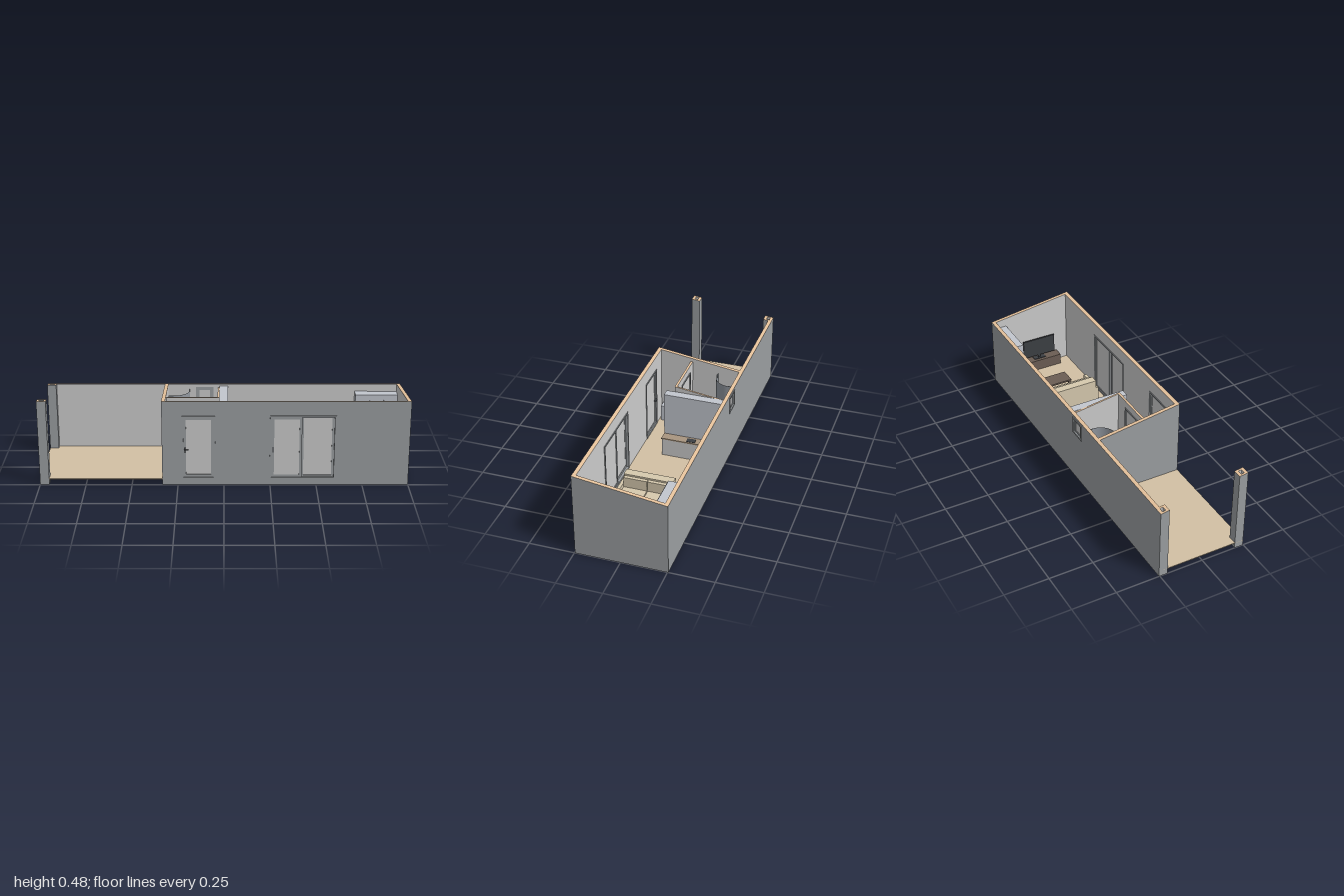
import * as THREE from 'three';

const mat = (color, side = THREE.FrontSide) => new THREE.MeshStandardMaterial({ color, side });
const GREY = mat(0xcccccc), OUTER = mat(0x9a9ea1), CUT = mat(0xe6c29c), FLOOR = mat(0xd2c0a4);
const UNDER = mat(0x8c8f93), CABINET = mat(0xc2c6ce), BROWN = mat(0xa8957f), DARK = mat(0x6b5d54);
const BLACK = mat(0x3c3f43), SOFA = mat(0xd6c9ae), STEEL = mat(0x8d939a), SHELL = mat(0x9298a0, THREE.DoubleSide);

const FLOOR_Y = 0.035, ZF = 0.247, ZB = -0.255, T = 0.02;
const roof = z => 0.41 + 0.07 * (z - ZB) / (ZF - ZB);

export function createModel() {
  const root = new THREE.Group();
  const group = name => { const g = new THREE.Group(); g.name = name; root.add(g); return g; };
  const add = (parent, name, geo, material) => {
    const m = new THREE.Mesh(geo, material);
    m.name = name;
    parent.add(m);
    return m;
  };

  // box given by its limits
  const box = (parent, name, x0, x1, y0, y1, z0, z1, material) => {
    const geo = new THREE.BoxGeometry(x1 - x0, y1 - y0, z1 - z0);
    geo.translate((x0 + x1) / 2, (y0 + y1) / 2, (z0 + z1) / 2);
    return add(parent, name, geo, material);
  };

  // wall whose top follows the roof slope; outside lists the face slots (+x -x +z -z) in the dark finish
  const wall = (parent, name, x0, x1, y0, z0, z1, outside, drop = 0) => {
    const sides = [0, 1, 2, 2, 4, 5].map((s, i) => (i === 2 || i === 3) ? CUT : outside.includes(s) ? OUTER : GREY);
    const m = box(parent, name, x0, x1, y0, 1, z0, z1, sides);
    const p = m.geometry.attributes.position;
    for (let i = 0; i < p.count; i++) if (p.getY(i) > 0.9) p.setY(i, roof(p.getZ(i)) - drop);
    m.geometry.computeVertexNormals();
    return m;
  };

  // rectangular frame in the x-y plane
  const frame = (parent, x0, x1, y0, y1, z0, z1, w) => {
    box(parent, 'frameLeft', x0, x0 + w, y0, y1, z0, z1, OUTER);
    box(parent, 'frameRight', x1 - w, x1, y0, y1, z0, z1, OUTER);
    box(parent, 'frameBottom', x0 + w, x1 - w, y0, y0 + w, z0, z1, OUTER);
    box(parent, 'frameTop', x0 + w, x1 - w, y1 - w, y1, z0, z1, OUTER);
  };

  // outer walls, with openings left in front and back
  const walls = group('outerWalls');
  wall(walls, 'rightEndWall', 1 - T, 1, 0, ZB, ZF, [0, 4, 5]);
  wall(walls, 'houseEndWall', -0.335, -0.335 + T, 0, ZB + T, ZF, [1, 4]);
  const front = [[-0.315, -0.225], [-0.05, 0.25], [0.6, 0.98]];
  for (const [a, b] of front) wall(walls, 'frontWall', a, b, 0, ZF - T, ZF, [4]);
  for (const [a, b] of [[-0.225, -0.05], [0.25, 0.6]]) {
    wall(walls, 'frontLintel', a, b, 0.397, ZF - T, ZF, [4]);
    box(walls, 'frontSill', a, b, 0, FLOOR_Y, ZF - T, ZF, [GREY, GREY, CUT, CUT, OUTER, GREY]);
  }
  const W = { x0: -0.16, x1: -0.06, y0: 0.295, y1: 0.395 };
  for (const [a, b] of [[-0.95, W.x0], [W.x1, 0.98]]) wall(walls, 'backWall', a, b, 0, ZB, ZB + T, [5]);
  wall(walls, 'backLintel', W.x0, W.x1, W.y1, ZB, ZB + T, [5]);
  box(walls, 'backWallBelowWindow', W.x0, W.x1, 0, W.y0, ZB, ZB + T, [GREY, GREY, CUT, CUT, GREY, OUTER]);

  // floors
  const floors = group('floors');
  box(floors, 'houseFloor', -0.315, 0.98, FLOOR_Y - 0.012, FLOOR_Y, ZB + T, ZF - T, [FLOOR, FLOOR, FLOOR, UNDER, FLOOR, FLOOR]);
  box(floors, 'terraceDeck', -1, -0.335, FLOOR_Y - 0.004, FLOOR_Y, ZB + T, ZF, FLOOR);

  // hollow terrace posts
  for (const [name, z0] of [['frontPost', ZF - 0.05], ['backPost', ZB]]) {
    const g = group(name), z1 = z0 + 0.05, a = 0.012, b = 0.016;
    wall(g, 'postSide', -1, -1 + a, 0, z0, z1, [1, 4, 5]);
    wall(g, 'postSide', -0.95 - a, -0.95, 0, z0, z1, [0, 4, 5]);
    wall(g, 'postSide', -1 + a, -0.95 - a, 0, z0, z0 + b, [5]);
    wall(g, 'postSide', -1 + a, -0.95 - a, 0, z1 - b, z1, [4]);
  }

  // entrance door
  const door = group('entranceDoor');
  frame(door, -0.228, -0.047, FLOOR_Y, 0.397, ZF - T - 0.003, ZF + 0.003, 0.009);
  frame(door, -0.219, -0.056, 0.044, 0.388, 0.231, 0.243, 0.014);
  box(door, 'doorPane', -0.205, -0.07, 0.055, 0.376, 0.234, 0.239, GREY);
  box(door, 'handlePlate', -0.214, -0.208, 0.187, 0.215, 0.243, 0.251, BLACK);
  box(door, 'handleLever', -0.214, -0.19, 0.203, 0.207, 0.251, 0.257, BLACK);
  box(door, 'innerLever', -0.214, -0.19, 0.203, 0.207, 0.218, 0.231, BLACK);

  // sliding patio doors
  const patio = group('patioDoors');
  frame(patio, 0.247, 0.603, FLOOR_Y, 0.4, ZF - T - 0.003, ZF + 0.003, 0.009);
  frame(patio, 0.256, 0.42, 0.044, 0.391, 0.238, 0.246, 0.014);
  frame(patio, 0.416, 0.594, 0.04, 0.395, 0.228, 0.238, 0.013);
  box(patio, 'leftPane', 0.268, 0.407, 0.052, 0.378, 0.24, 0.243, GREY);
  box(patio, 'rightPane', 0.428, 0.582, 0.05, 0.384, 0.231, 0.235, GREY);
  box(patio, 'handle', 0.262, 0.266, 0.19, 0.22, 0.246, 0.25, BLACK);

  // bathroom window
  const win = group('bathroomWindow');
  frame(win, W.x0, W.x1, W.y0, W.y1, ZB - 0.003, ZB + T + 0.003, 0.01);
  frame(win, W.x0 + 0.01, W.x1 - 0.01, W.y0 + 0.01, W.y1 - 0.01, ZB + 0.005, ZB + 0.015, 0.01);
  box(win, 'windowPane', W.x0 + 0.019, W.x1 - 0.019, W.y0 + 0.019, W.y1 - 0.019, ZB + 0.008, ZB + 0.012, GREY);

  // bathroom partitions and inner door
  const part = group('partitions');
  wall(part, 'sidePartition', -0.035, -0.025, FLOOR_Y, ZB + T, 0.05, [], 0.02);
  wall(part, 'doorPartition', -0.315, -0.26, FLOOR_Y, 0.038, 0.05, [], 0.02);
  wall(part, 'doorPartition', -0.12, -0.035, FLOOR_Y, 0.038, 0.05, [], 0.02);
  wall(part, 'doorLintel', -0.26, -0.12, 0.385, 0.038, 0.05, [], 0.02);
  frame(part, -0.265, -0.115, FLOOR_Y, 0.39, 0.034, 0.054, 0.009);
  box(part, 'innerDoor', -0.256, -0.124, FLOOR_Y, 0.381, 0.04, 0.048, GREY);
  box(part, 'innerDoorHandle', -0.15, -0.13, 0.2, 0.205, 0.03, 0.058, BLACK);

  // corner shower: square corner with one rounded side
  const shower = group('shower');
  const tray = new THREE.Shape();
  tray.moveTo(0, 0);
  tray.lineTo(0.12, 0);
  tray.lineTo(0.12, 0.03);
  tray.quadraticCurveTo(0.115, 0.115, 0.03, 0.12);
  tray.lineTo(0, 0.12);
  const trayGeo = new THREE.ExtrudeGeometry(tray, { depth: 0.02, bevelEnabled: false, curveSegments: 12 });
  trayGeo.rotateX(Math.PI / 2).translate(-0.312, FLOOR_Y + 0.02, -0.233);
  add(shower, 'showerTray', trayGeo, CABINET);
  const screen = new THREE.CylinderGeometry(0.09, 0.09, 0.33, 16, 1, true, 0, Math.PI / 2);
  screen.translate(-0.284, 0.22, -0.205);
  add(shower, 'curvedScreen', screen, SHELL);
  box(shower, 'screenSide', -0.197, -0.193, 0.055, 0.385, -0.233, -0.205, STEEL);
  box(shower, 'screenSide', -0.312, -0.284, 0.055, 0.385, -0.117, -0.113, STEEL);
  add(shower, 'drain', new THREE.CylinderGeometry(0.008, 0.008, 0.002, 16), STEEL).position.set(-0.27, 0.056, -0.19);

  // toilet
  const toilet = group('toilet');
  box(toilet, 'cistern', -0.14, -0.08, 0.08, 0.16, -0.234, -0.21, CABINET);
  const bowl = new THREE.LatheGeometry([[0, 0], [0.018, 0], [0.018, 0.03], [0.03, 0.06], [0.03, 0.072], [0, 0.074]]
    .map(p => new THREE.Vector2(...p)), 20);
  bowl.scale(1, 1, 1.35).translate(-0.11, FLOOR_Y, -0.17);
  add(toilet, 'bowl', bowl, CABINET);

  // washbasin and tap
  const basin = group('washbasin');
  box(basin, 'vanity', -0.085, -0.036, 0.08, 0.135, -0.065, 0.01, CABINET);
  box(basin, 'basinBowl', -0.08, -0.052, 0.135, 0.137, -0.055, 0, STEEL);
  box(basin, 'basinTap', -0.064, -0.042, 0.155, 0.159, -0.03, -0.025, BLACK);
  box(basin, 'basinTapStem', -0.046, -0.042, 0.135, 0.155, -0.03, -0.025, BLACK);

  // bench in the entrance
  box(group('entranceCabinet'), 'cabinetBody', -0.312, -0.265, FLOOR_Y, 0.13, 0.085, 0.215, CABINET);

  // kitchen: tall unit, counter, sink and hob
  const kitchen = group('kitchen');
  box(kitchen, 'tallUnit', -0.025, 0.022, FLOOR_Y, 0.4, ZB + T, 0.097, CABINET);
  box(kitchen, 'counterBody', 0.022, 0.072, FLOOR_Y, 0.14, ZB + T, 0.095, GREY);
  box(kitchen, 'worktop', 0.022, 0.076, 0.14, 0.147, ZB + T, 0.097, BROWN);
  box(kitchen, 'sink', 0.028, 0.066, 0.147, 0.149, -0.2, -0.15, STEEL);
  box(kitchen, 'sinkTap', 0.028, 0.05, 0.17, 0.174, -0.178, -0.173, BLACK);
  box(kitchen, 'sinkTapStem', 0.028, 0.032, 0.149, 0.17, -0.178, -0.173, BLACK);
  box(kitchen, 'hob', 0.035, 0.068, 0.147, 0.149, -0.095, -0.045, BLACK);

  // sofa facing the right end wall
  const sofa = group('sofa');
  box(sofa, 'sofaBase', 0.462, 0.612, 0.05, 0.085, -0.115, 0.16, SOFA);
  box(sofa, 'sofaBack', 0.458, 0.505, 0.05, 0.18, -0.115, 0.16, SOFA);
  for (const z of [-0.13, 0.157]) box(sofa, 'sofaArm', 0.458, 0.612, 0.05, 0.13, z, z + 0.018, SOFA);
  for (const z of [-0.111, 0.024]) {
    box(sofa, 'seatCushion', 0.515, 0.61, 0.085, 0.11, z, z + 0.131, SOFA);
    box(sofa, 'backCushion', 0.505, 0.525, 0.11, 0.17, z, z + 0.131, SOFA);
  }
  for (const x of [0.465, 0.595]) for (const z of [-0.125, 0.16])
    box(sofa, 'sofaFoot', x, x + 0.01, FLOOR_Y, 0.05, z, z + 0.01, DARK);

  // coffee table
  const table = group('coffeeTable');
  box(table, 'tableTop', 0.652, 0.745, 0.085, 0.095, -0.052, 0.095, DARK);
  for (const x of [0.655, 0.73]) for (const z of [-0.049, 0.08])
    box(table, 'tableLeg', x, x + 0.012, FLOOR_Y, 0.085, z, z + 0.012, DARK);

  // media stand with television
  const media = group('mediaStand');
  box(media, 'standBody', 0.922, 0.98, FLOOR_Y, 0.1, -0.103, 0.157, DARK);
  box(media, 'screenFoot', 0.94, 0.97, 0.1, 0.104, -0.01, 0.065, BLACK);
  box(media, 'screenNeck', 0.953, 0.959, 0.104, 0.13, 0.02, 0.035, BLACK);
  box(media, 'television', 0.951, 0.961, 0.12, 0.235, -0.075, 0.13, BLACK);

  // wardrobe in the back corner
  const wardrobe = group('wardrobe');
  box(wardrobe, 'wardrobeBody', 0.742, 0.98, FLOOR_Y, 0.37, ZB + T, -0.172, CABINET);
  for (const x of [0.745, 0.824, 0.903])
    box(wardrobe, 'wardrobeDoor', x, x + 0.075, 0.045, 0.365, -0.172, -0.168, CABINET);

  return root;
}
